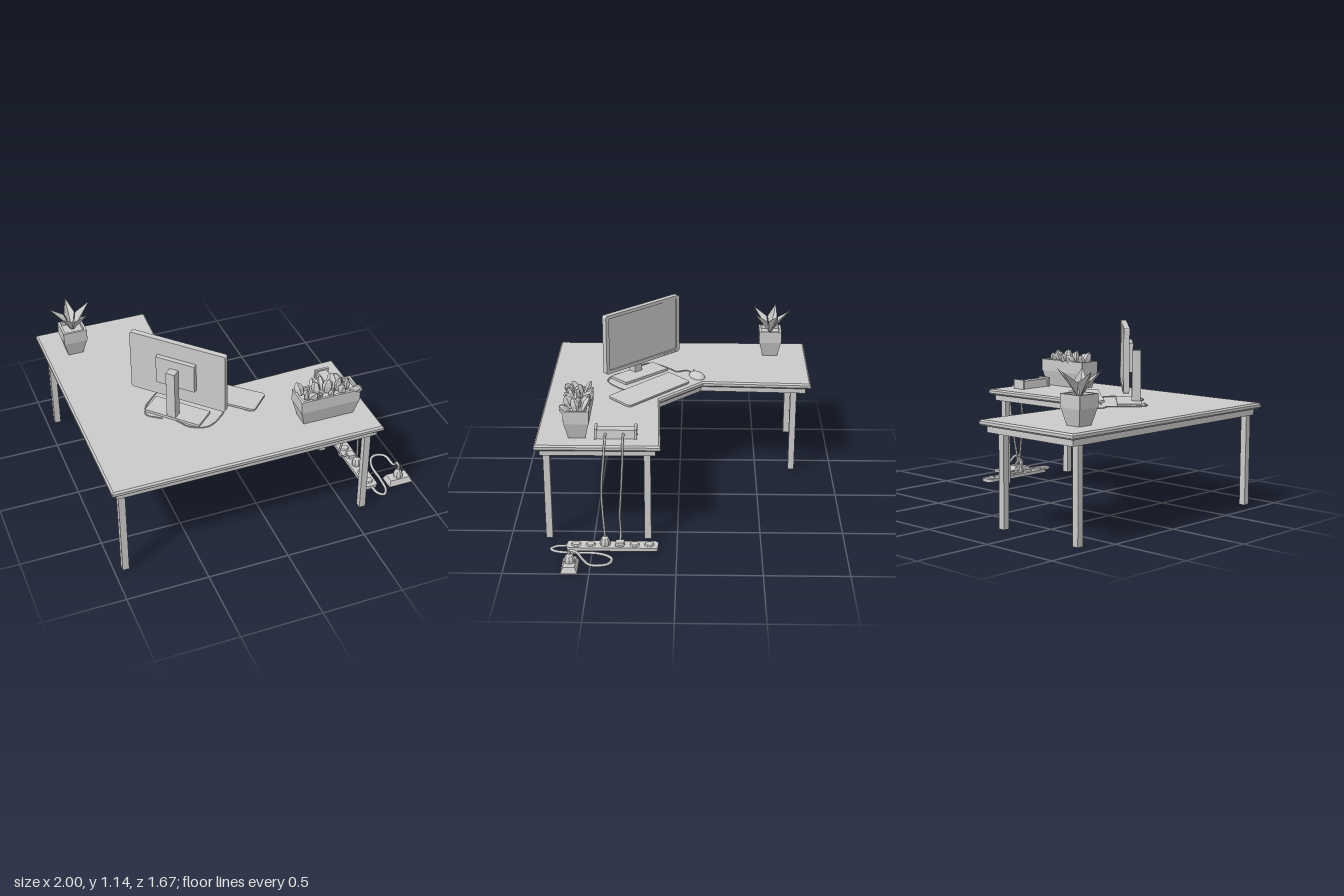
import * as THREE from 'three';

const grey = new THREE.MeshStandardMaterial({ color: 0xcccccc, flatShading: true });
const thin = new THREE.MeshStandardMaterial({ color: 0xcccccc, flatShading: true, side: THREE.DoubleSide });
const smooth = new THREE.MeshStandardMaterial({ color: 0xcccccc });
const TOP = 0.655; // height of the desk surface

function add(parent, name, geo, x = 0, y = 0, z = 0, mat = grey) {
  const m = new THREE.Mesh(geo, mat);
  m.name = name;
  m.position.set(x, y, z);
  parent.add(m);
  return m;
}
function group(parent, name, x = 0, y = 0, z = 0, deg = 0) {
  const g = new THREE.Group();
  g.name = name;
  g.position.set(x, y, z);
  g.rotation.y = THREE.MathUtils.degToRad(deg);
  parent.add(g);
  return g;
}
const box = (w, h, d) => new THREE.BoxGeometry(w, h, d);

// Box whose top face has another size; stands on y = 0
function frustum(w0, d0, w1, d1, h) {
  const g = box(1, h, 1).translate(0, h / 2, 0), p = g.attributes.position;
  for (let i = 0; i < p.count; i++) {
    const up = p.getY(i) > h / 2;
    p.setX(i, p.getX(i) * (up ? w1 : w0));
    p.setZ(i, p.getZ(i) * (up ? d1 : d0));
  }
  return g;
}
function roundRect(w, h, r, Type = THREE.Shape) {
  const s = new Type(), a = w / 2 - r, b = h / 2 - r;
  s.absarc(a, b, r, 0, Math.PI / 2);
  s.absarc(-a, b, r, Math.PI / 2, Math.PI);
  s.absarc(-a, -b, r, Math.PI, Math.PI * 1.5);
  s.absarc(a, -b, r, Math.PI * 1.5, Math.PI * 2);
  s.closePath();
  return s;
}
const extrude = (s, depth, opts = {}) =>
  new THREE.ExtrudeGeometry(s, { depth, bevelEnabled: false, curveSegments: 4, ...opts });
// Extrude a plan shape upwards (shape y is -z)
const slab = (s, h, opts) => extrude(s, h, opts).rotateX(-Math.PI / 2);

function cable(parent, name, pts, r = 0.007) {
  const curve = new THREE.CatmullRomCurve3(pts.map(p => new THREE.Vector3(...p)), false, 'centripetal');
  return add(parent, name, new THREE.TubeGeometry(curve, pts.length * 6, r, 6), 0, 0, 0, smooth);
}

// Move every edge of a counter-clockwise outline inwards by d
function inset(pts, d) {
  return pts.map((p, i) => {
    const a = pts[(i + pts.length - 1) % pts.length], b = pts[(i + 1) % pts.length];
    const e0 = p.clone().sub(a).normalize(), e1 = b.clone().sub(p).normalize();
    const n0 = new THREE.Vector2(-e0.y, e0.x), n1 = new THREE.Vector2(-e1.y, e1.x);
    return n0.clone().add(n1).multiplyScalar(d / (1 + n0.dot(n1))).add(p);
  });
}

function desk(root) {
  const g = group(root, 'desk');
  const outline = [[-1, 0.83], [0.67, 0.83], [0.67, 0.095], [-0.02, 0.12], [-0.295, -0.15], [-0.265, -0.84], [-1, -0.84]]
    .map(([x, z]) => new THREE.Vector2(x, -z));
  add(g, 'deskTop', slab(new THREE.Shape(inset(outline, 0.01)), 0.016,
    { bevelEnabled: true, bevelSize: 0.01, bevelThickness: 0.01, bevelSegments: 1 }), 0, 0.629, 0);
  const frame = new THREE.Shape(inset(outline, 0.03));
  frame.holes.push(new THREE.Path(inset(outline, 0.07)));
  add(g, 'deskFrame', slab(frame, 0.04), 0, 0.58, 0);
  for (const [x, z] of [[-0.935, 0.765], [-0.935, -0.735], [-0.355, -0.735], [0.59, 0.765], [0.59, 0.175]])
    add(g, 'deskLeg', box(0.04, 0.575, 0.04), x, 0.305, z);
}

// Screen faces local -z
function monitor(root) {
  const g = group(root, 'monitor', -0.4, 0, 0.245, -46.5);
  const bezel = roundRect(0.62, 0.39, 0.015);
  bezel.holes.push(roundRect(0.57, 0.345, 0.003, THREE.Path));
  add(g, 'bezel', extrude(bezel, 0.012), 0, 0.945, -0.019);
  add(g, 'panel', extrude(roundRect(0.62, 0.39, 0.015), 0.024), 0, 0.945, -0.008);
  add(g, 'screen', box(0.56, 0.335, 0.004), 0, 0.947, -0.01);
  for (let i = 0; i < 4; i++)
    add(g, 'button', new THREE.CylinderGeometry(0.005, 0.005, 0.006, 8).rotateX(Math.PI / 2), -0.18 - i * 0.03, 0.762, -0.02);
  add(g, 'backHousing', box(0.25, 0.18, 0.03), 0, 0.945, 0.03);
  add(g, 'standColumn', box(0.057, 0.32, 0.055), -0.005, 0.82, 0.07);
  add(g, 'standBase', box(0.36, 0.016, 0.15), 0, TOP + 0.008, 0.025);
}

function keyboardAndMouse(root) {
  const k = group(root, 'keyboard', -0.13, TOP, 0.187, -43);
  const body = add(k, 'keyboardBody', slab(roundRect(0.54, 0.19, 0.02), 0.013), 0, 0.011, 0);
  body.rotation.x = -0.05;
  for (const x of [-0.22, 0.22]) add(k, 'keyboardFoot', box(0.04, 0.016, 0.012), x, 0.008, 0.075);
  const m = group(root, 'mouse', -0.39, TOP, -0.11, 30);
  add(m, 'mouseBody', new THREE.SphereGeometry(1, 14, 5, 0, Math.PI * 2, 0, Math.PI / 2).scale(0.07, 0.03, 0.045), 0, 0, 0, smooth);
  add(m, 'mouseWheel', new THREE.CylinderGeometry(0.008, 0.008, 0.006, 8).rotateX(Math.PI / 2), -0.042, 0.024, 0);
  const y = TOP + 0.004;
  cable(root, 'mouseCable', [[-0.45, y, -0.08], [-0.48, y, -0.04], [-0.46, y, 0.02], [-0.5, y, 0.06], [-0.58, y, 0.15], [-0.6, y, 0.22], [-0.52, y, 0.29]], 0.004);
  cable(root, 'keyboardCable', [[-0.16, y, 0.3], [-0.15, y, 0.34], [-0.2, y, 0.4], [-0.3, y, 0.46], [-0.4, y, 0.42], [-0.45, y, 0.34]], 0.004);
}

// Pot with a tapered foot, upright rim and soil
function pot(parent, w, d) {
  add(parent, 'potFoot', frustum(w - 0.055, d - 0.05, w - 0.004, d - 0.004, 0.1));
  const rim = roundRect(w, d, 0.001);
  rim.holes.push(roundRect(w - 0.03, d - 0.03, 0.001, THREE.Path));
  add(parent, 'potRim', slab(rim, 0.077), 0, 0.1, 0);
  add(parent, 'soil', box(w - 0.03, 0.055, d - 0.03), 0, 0.127, 0);
}

function plants(root) {
  // Five folded, pointed leaves
  const a = group(root, 'leafyPlant', -0.813, TOP, -0.598);
  pot(a, 0.15, 0.148);
  const geo = new THREE.BufferGeometry();
  geo.setAttribute('position', new THREE.Float32BufferAttribute([
    0, 0.15, 0.004, -0.034, 0.245, 0.05, 0, 0.222, 0.062, 0.034, 0.245, 0.05, 0, 0.308, 0.137], 3));
  geo.setIndex([0, 2, 1, 0, 3, 2, 1, 2, 4, 2, 3, 4]);
  geo.computeVertexNormals();
  for (let i = 0; i < 5; i++)
    add(a, 'pointedLeaf', geo, 0, 0, 0, thin).rotation.y = Math.PI + i * Math.PI * 0.4;

  // Long planter with fat little leaves
  const b = group(root, 'longPlanter', 0.398, TOP, 0.587);
  pot(b, 0.375, 0.15);
  const fat = new THREE.LatheGeometry([[0, 0], [0.022, 0.02], [0.032, 0.06], [0.022, 0.09], [0, 0.105]]
    .map(p => new THREE.Vector2(...p)), 5).scale(1, 1, 0.6);
  for (let i = 0; i < 15; i++) {
    const row = i % 3 - 1, t = Math.floor(i / 3) - 2;
    const leaf = add(b, 'fatLeaf', fat, t * 0.066 + row * 0.012, 0.14, row * 0.026);
    leaf.rotation.set(row * 0.45, i * 1.3, -t * 0.17 + (i % 2 ? 0.12 : -0.12));
    leaf.scale.setScalar(0.93 + 0.12 * ((i * 7) % 5) / 4);
  }
}

function power(root) {
  // Charging dock at the desk edge
  const d = group(root, 'dock', 0.53, TOP, 0.36);
  add(d, 'dockBody', frustum(0.075, 0.23, 0.06, 0.23, 0.052));
  for (const z of [-0.117, 0.117]) add(d, 'dockEnd', box(0.09, 0.062, 0.015), 0, 0.031, z);

  // Power strip with six sockets
  const s = group(root, 'powerStrip', 0.722, 0, 0.38);
  add(s, 'stripBody', slab(roundRect(0.085, 0.54, 0.02), 0.022), 0, 0.016, 0);
  for (let i = 0; i < 6; i++)
    add(s, 'socket', new THREE.CylinderGeometry(0.024, 0.031, 0.01, 8, 1, false, Math.PI / 8), 0, 0.042, -0.217 + i * 0.0865);
  const plug = new THREE.LatheGeometry([[0.03, 0], [0.03, 0.022], [0.02, 0.045], [0.008, 0.056], [0, 0.056]]
    .map(p => new THREE.Vector2(...p)), 8);
  add(s, 'lowPlug', box(0.045, 0.022, 0.05), 0.002, 0.05, -0.044);
  add(s, 'tallPlug', plug, 0.002, 0.04, 0.043);

  cable(root, 'dockCableA', [[0.56, 0.685, 0.42], [0.62, 0.675, 0.42], [0.675, 0.655, 0.42], [0.7, 0.58, 0.425],
    [0.705, 0.4, 0.44], [0.715, 0.25, 0.435], [0.724, 0.09, 0.423]]);
  cable(root, 'dockCableB', [[0.56, 0.685, 0.315], [0.62, 0.67, 0.315], [0.672, 0.65, 0.315], [0.695, 0.58, 0.315],
    [0.69, 0.4, 0.325], [0.66, 0.2, 0.338], [0.64, 0.075, 0.336], [0.66, 0.055, 0.336], [0.71, 0.055, 0.336]]);

  // Floor outlet, its plug and the feed cable
  const o = group(root, 'floorOutlet', 0.92, 0, 0.617);
  add(o, 'outletBox', frustum(0.16, 0.098, 0.13, 0.068, 0.035));
  const p = add(o, 'outletPlug', plug, 0, 0.033, 0);
  p.scale.set(0.95, 1.05, 1.05);
  add(o, 'plugNeck', new THREE.CylinderGeometry(0.009, 0.012, 0.035, 8), 0, 0.097, 0);
  cable(root, 'feedCable', [[0.722, 0.028, 0.64], [0.73, 0.028, 0.71], [0.76, 0.028, 0.74], [0.79, 0.028, 0.71], [0.805, 0.028, 0.6],
    [0.81, 0.028, 0.47], [0.84, 0.028, 0.4], [0.88, 0.028, 0.375], [0.935, 0.028, 0.4], [0.945, 0.03, 0.5],
    [0.94, 0.065, 0.54], [0.93, 0.105, 0.575], [0.92, 0.11, 0.612]], 0.009);
}

export function createModel() {
  const root = new THREE.Group();
  root.name = 'cornerDesk';
  desk(root);
  monitor(root);
  keyboardAndMouse(root);
  plants(root);
  power(root);
  return root;
}
